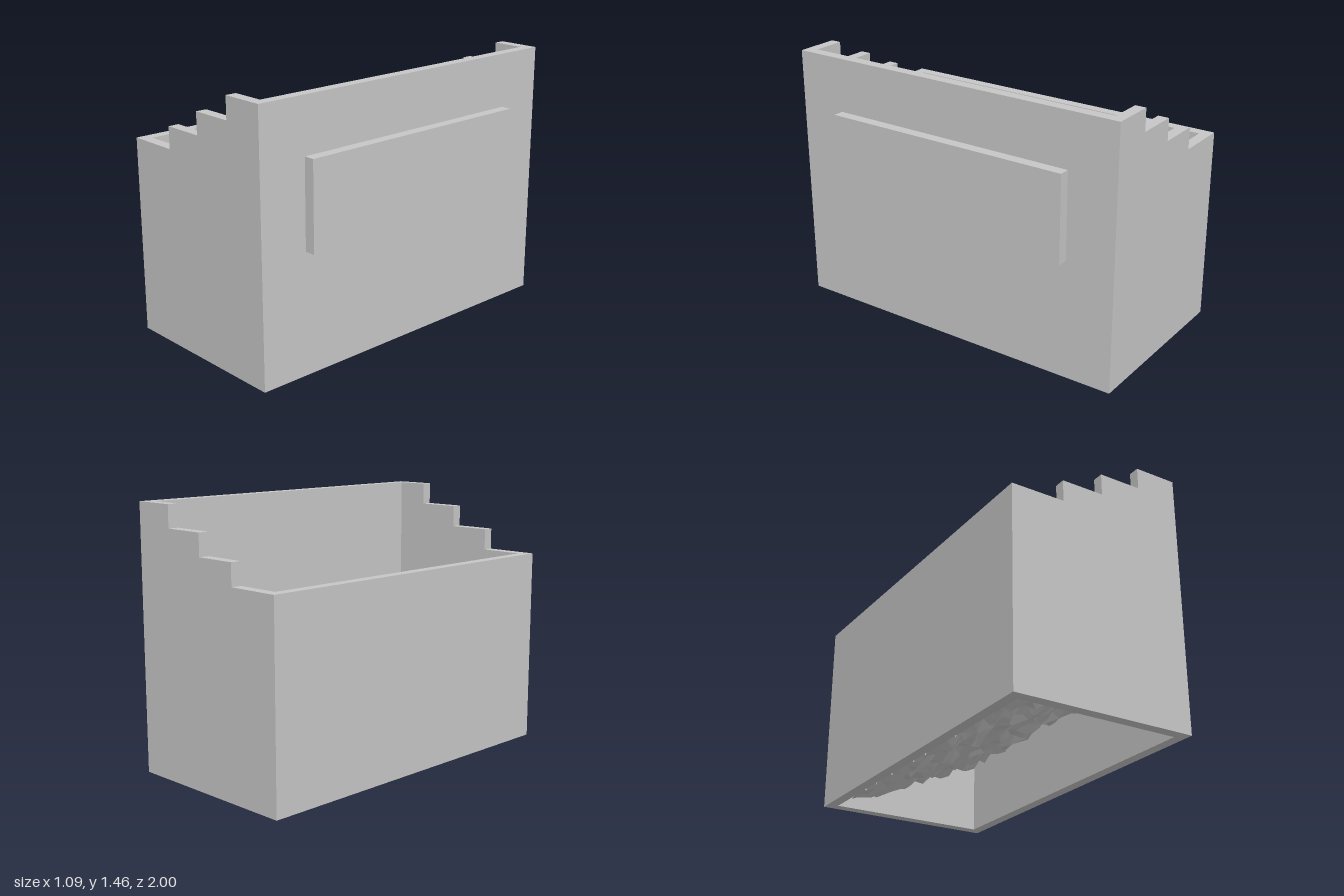
import * as THREE from 'three';

export function createModel() {
  const model = new THREE.Group();
  model.name = 'steppedBin';
  const grey = new THREE.MeshStandardMaterial({ color: 0xc6c6c6, side: THREE.DoubleSide, flatShading: true });
  grey.name = 'plain grey';

  const X0 = -0.545, X1 = 0.483, Y0 = 0.008, WALL = 0.06;
  const add = (geometry, name) => {
    const mesh = new THREE.Mesh(geometry, grey);
    mesh.name = name;
    model.add(mesh);
  };
  const addBox = (name, x0, x1, y0, y1, z0, z1) => {
    const box = new THREE.BoxGeometry(x1 - x0, y1 - y0, z1 - z0);
    box.translate((x0 + x1) / 2, (y0 + y1) / 2, (z0 + z1) / 2);
    add(box, name);
  };

  // End walls with four steps rising towards the tall side
  const outline = new THREE.Shape();
  outline.moveTo(X0, Y0);
  outline.lineTo(X1, Y0);
  outline.lineTo(X1, 1.46);
  [[0.242, 1.46, 1.338], [0, 1.338, 1.217], [-0.242, 1.217, 1.097]].forEach(([x, upper, lower]) => {
    outline.lineTo(x, upper);
    outline.lineTo(x, lower);
  });
  outline.lineTo(X0, 1.097);
  outline.closePath();
  [['frontWall', 1 - WALL], ['backWall', -1]].forEach(([name, z]) => {
    const wall = new THREE.ExtrudeGeometry(outline, { depth: WALL, bevelEnabled: false });
    wall.translate(0, 0, z);
    add(wall, name);
  });

  // Long side walls and the raised panel on the tall one
  const zi = 1 - WALL;
  addBox('lowSideWall', X0, X0 + WALL, Y0, 1.097, -zi, zi);
  addBox('tallSideWall', X1 - WALL, X1, Y0, 1.46, -zi, zi);
  addBox('sidePanel', X1, 0.543, 0.675, 1.159, -0.725, 0.725);

  // Sloping rubble heap: a grid with stepped bumps and mixed diagonals
  const hash = (a, b) => {
    const s = Math.sin(a * 127.1 + b * 311.7 + 5.3) * 43758.5453;
    return s - Math.floor(s);
  };
  const NX = 15, NZ = 31, positions = [], indices = [];
  for (let j = 0; j <= NZ; j++) {
    for (let i = 0; i <= NX; i++) {
      const u = i / NX, r = hash(i, j);
      const bump = r < 0.28 ? -0.035 : r > 0.72 ? 0.035 : 0;
      positions.push(
        X0 + WALL + u * (X1 - X0 - 2 * WALL),
        Math.max(0, 0.025 + 0.41 * u + bump),
        -zi + (j / NZ) * 2 * zi
      );
    }
  }
  for (let j = 0; j < NZ; j++) {
    for (let i = 0; i < NX; i++) {
      const a = j * (NX + 1) + i, b = a + 1, c = a + NX + 1, d = c + 1;
      if (hash(i + 40, j + 90) < 0.5) indices.push(a, c, b, b, c, d);
      else indices.push(a, c, d, a, d, b);
    }
  }
  const heap = new THREE.BufferGeometry();
  heap.setAttribute('position', new THREE.Float32BufferAttribute(positions, 3));
  heap.setIndex(indices);
  const facets = heap.toNonIndexed();
  facets.computeVertexNormals();
  add(facets, 'rubbleHeap');

  return model;
}
